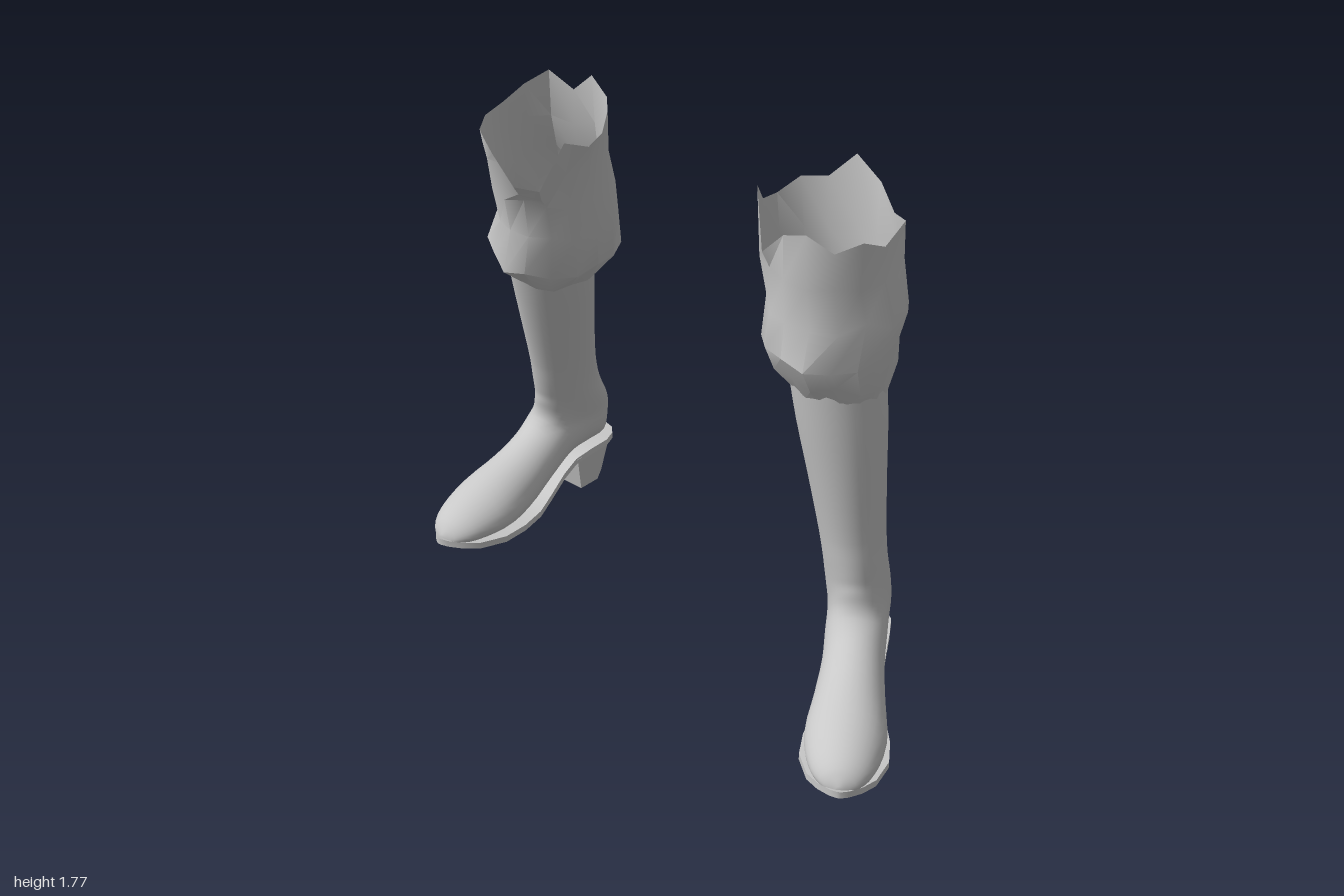
import * as THREE from 'three';
import { toCreasedNormals } from 'three/addons/utils/BufferGeometryUtils.js';

const SEGMENTS = 16;

// Joins closed rings of points into a skin, with optional end caps
function loft(rings, { capStart = false, capEnd = false, crease = 0 } = {}) {
  const n = rings[0].length, last = rings.length - 1;
  const pts = rings.flat();
  const index = [];
  for (let i = 0; i < last; i++) {
    for (let j = 0; j < n; j++) {
      const a = i * n + j, b = i * n + (j + 1) % n;
      index.push(a, a + n, b, b, a + n, b + n);
    }
  }
  const cap = (r, flip) => {
    const centre = new THREE.Vector3();
    rings[r].forEach((p) => centre.addScaledVector(p, 1 / n));
    const c = pts.push(centre) - 1;
    for (let j = 0; j < n; j++) {
      const a = r * n + j, b = r * n + (j + 1) % n;
      index.push(c, flip ? b : a, flip ? a : b);
    }
  };
  if (capStart) cap(0, false);
  if (capEnd) cap(last, true);
  const geo = new THREE.BufferGeometry().setFromPoints(pts);
  geo.setIndex(index);
  if (crease) return toCreasedNormals(geo, crease);
  geo.computeVertexNormals();
  return geo;
}

function seeded(seed) {
  return () => (seed = (seed * 16807) % 2147483647) / 2147483647;
}

// Foot and shaft sections from toe to top: front z, y / back z, y / half width / low-set bulge
const UPPER = [
  [0.832, 0.065, 0.832, 0.035, 0.015, 1.2],
  [0.80, 0.11, 0.81, 0.03, 0.065, 1.4],
  [0.73, 0.152, 0.75, 0.025, 0.105, 1.5],
  [0.61, 0.20, 0.63, 0.02, 0.13, 1.5],
  [0.47, 0.245, 0.49, 0.025, 0.115, 1.3],
  [0.38, 0.29, 0.34, 0.085, 0.1, 1.1],
  [0.33, 0.335, 0.21, 0.145, 0.1, 1],
  [0.315, 0.37, 0.10, 0.148, 0.1, 1],
  [0.31, 0.41, 0.02, 0.155, 0.102, 1],
  [0.305, 0.44, 0.0, 0.22, 0.104, 1],
  [0.305, 0.47, 0.0, 0.32, 0.105, 1],
  [0.305, 0.52, 0.035, 0.44, 0.104, 1],
  [0.305, 0.6, 0.05, 0.56, 0.108, 1],
  [0.32, 0.8, 0.05, 0.8, 0.125, 1],
  [0.335, 1.0, 0.045, 1.0, 0.143, 1],
  [0.345, 1.18, 0.04, 1.18, 0.152, 1],
];

// Sole sections from toe to heel: z, underside y, half width
const SOLE = [
  [0.85, 0.034, 0.006], [0.835, 0.028, 0.03], [0.80, 0.02, 0.07], [0.75, 0.012, 0.108],
  [0.65, 0.006, 0.141], [0.55, 0.004, 0.138], [0.45, 0.006, 0.118], [0.38, 0.034, 0.103],
  [0.30, 0.088, 0.096], [0.24, 0.126, 0.1], [0.16, 0.138, 0.105], [0.08, 0.14, 0.105],
  [0.03, 0.14, 0.086], [0.0, 0.14, 0.055], [-0.01, 0.14, 0.015],
];

// D-shaped heel outline: x, z from back (0) to front (1)
const HEEL = [[1, 0.45], [1, 1], [-1, 1], [-1, 0.45], [-0.62, 0.1], [0, 0], [0.62, 0.1]];

const LEGS = [
  {
    name: 'left', heel: [0.69, 0.15], yaw: -0.12, lean: [-0.12, 0], tilt: 0, seed: 11,
    // Cuff levels: y, centre x, centre z, radius x, radius z
    cuff: [
      [1.12, 0.57, 0.33, 0.152, 0.152], [1.19, 0.55, 0.325, 0.19, 0.19],
      [1.28, 0.53, 0.325, 0.21, 0.23], [1.40, 0.55, 0.315, 0.218, 0.22],
      [1.54, 0.53, 0.318, 0.208, 0.228], [1.68, 0.525, 0.315, 0.215, 0.25],
    ],
    // Torn rim heights, from +x through the front
    rim: [1.66, 1.68, 1.66, 1.70, 1.67, 1.72, 1.69, 1.60, 1.77, 1.68, 1.66, 1.69, 1.69, 1.77, 1.70, 1.64],
  },
  {
    name: 'right', heel: [-0.24, -0.99], yaw: -0.7, lean: [-0.02, 0.37], tilt: 0.045, seed: 29,
    cuff: [
      [1.075, -0.36, -0.58, 0.158, 0.162], [1.16, -0.36, -0.53, 0.222, 0.215],
      [1.29, -0.35, -0.50, 0.205, 0.235], [1.42, -0.36, -0.455, 0.202, 0.228],
      [1.56, -0.372, -0.405, 0.208, 0.225], [1.68, -0.375, -0.375, 0.212, 0.235],
    ],
    rim: [1.70, 1.66, 1.65, 1.68, 1.52, 1.53, 1.62, 1.64, 1.63, 1.64, 1.66, 1.70, 1.74, 1.68, 1.755, 1.71],
  },
];

function createLeg(leg, material) {
  const group = new THREE.Group();
  group.name = leg.name + 'Leg';
  const add = (name, geo) => {
    const mesh = new THREE.Mesh(geo, material);
    mesh.name = leg.name + name;
    group.add(mesh);
  };

  // Turns the foot, stands it in place and leans the shaft
  const s = Math.sin(leg.yaw), c = Math.cos(leg.yaw);
  const place = (x, y, z) => {
    const rise = Math.max(0, y - 0.3);
    return new THREE.Vector3(
      leg.heel[0] + x * c + z * s + leg.lean[0] * rise, y,
      leg.heel[1] - x * s + z * c + leg.lean[1] * rise);
  };

  // Boot upper: a tube bending from the toe up into the shaft
  const front = new THREE.CatmullRomCurve3(UPPER.map((u) => new THREE.Vector3(u[4], u[1], u[0])));
  const back = new THREE.CatmullRomCurve3(UPPER.map((u) => new THREE.Vector3(u[5], u[3], u[2])));
  const steps = (UPPER.length - 1) * 3, around = 32;
  const upper = [];
  for (let i = 0; i <= steps; i++) {
    const f = front.getPoint(i / steps), b = back.getPoint(i / steps);
    const ring = [];
    for (let j = 0; j < around; j++) {
      const a = (j / around) * Math.PI * 2;
      const v = Math.pow((1 + Math.cos(a)) / 2, b.x);
      ring.push(place(-Math.sin(a) * f.x, b.y + (f.y - b.y) * v, b.z + (f.z - b.z) * v));
    }
    upper.push(ring);
  }
  add('BootUpper', loft(upper, { capStart: true }));

  // Sole plate following the arch
  const sole = SOLE.map(([z, y, w]) => [
    place(-w, y + 0.024, z), place(-w, y, z), place(w, y, z), place(w, y + 0.024, z),
  ]);
  add('Sole', loft(sole, { capStart: true, capEnd: true, crease: 0.7 }));

  // Tapered heel block
  const heel = [[0, 0.088, 0.045, 0.205], [0.145, 0.102, -0.005, 0.235]].map(
    ([y, w, z0, z1]) => HEEL.map(([x, t]) => place(x * w, y, z0 + (z1 - z0) * t)));
  add('Heel', loft(heel, { capStart: true, capEnd: true, crease: 0.6 }));

  // Baggy trouser cuff with a torn rim and crumpled folds
  const random = seeded(leg.seed);
  const top = leg.cuff.length - 1;
  const cuff = leg.cuff.map(([y, cx, cz, rx, rz], i) => {
    const ring = [];
    for (let j = 0; j < SEGMENTS; j++) {
      const a = (j / SEGMENTS) * Math.PI * 2;
      const r = 1 + (random() - 0.5) * (i === 0 ? 0.02 : 0.09);
      const drop = i === 0 ? (random() - 0.5) * 0.03 : (random() - 0.5) * 0.04;
      const height = i === top ? leg.rim[j]
        : y + drop - (i < 2 ? leg.tilt * Math.sin(a) : 0);
      // Where the rim is torn low, keep the level below under it
      const level = i === top - 1 ? Math.min(height, leg.rim[j] - 0.05) : height;
      ring.push(new THREE.Vector3(cx + Math.cos(a) * rx * r, level, cz + Math.sin(a) * rz * r));
    }
    return ring;
  });
  add('TrouserCuff', loft(cuff, { crease: 0.6 }));
  return group;
}

export function createModel() {
  const grey = new THREE.MeshStandardMaterial({ color: 0xc8c8c8, side: THREE.DoubleSide });
  grey.name = 'plain grey';
  const model = new THREE.Group();
  model.name = 'bootedLegs';
  LEGS.forEach((leg) => model.add(createLeg(leg, grey)));
  return model;
}
